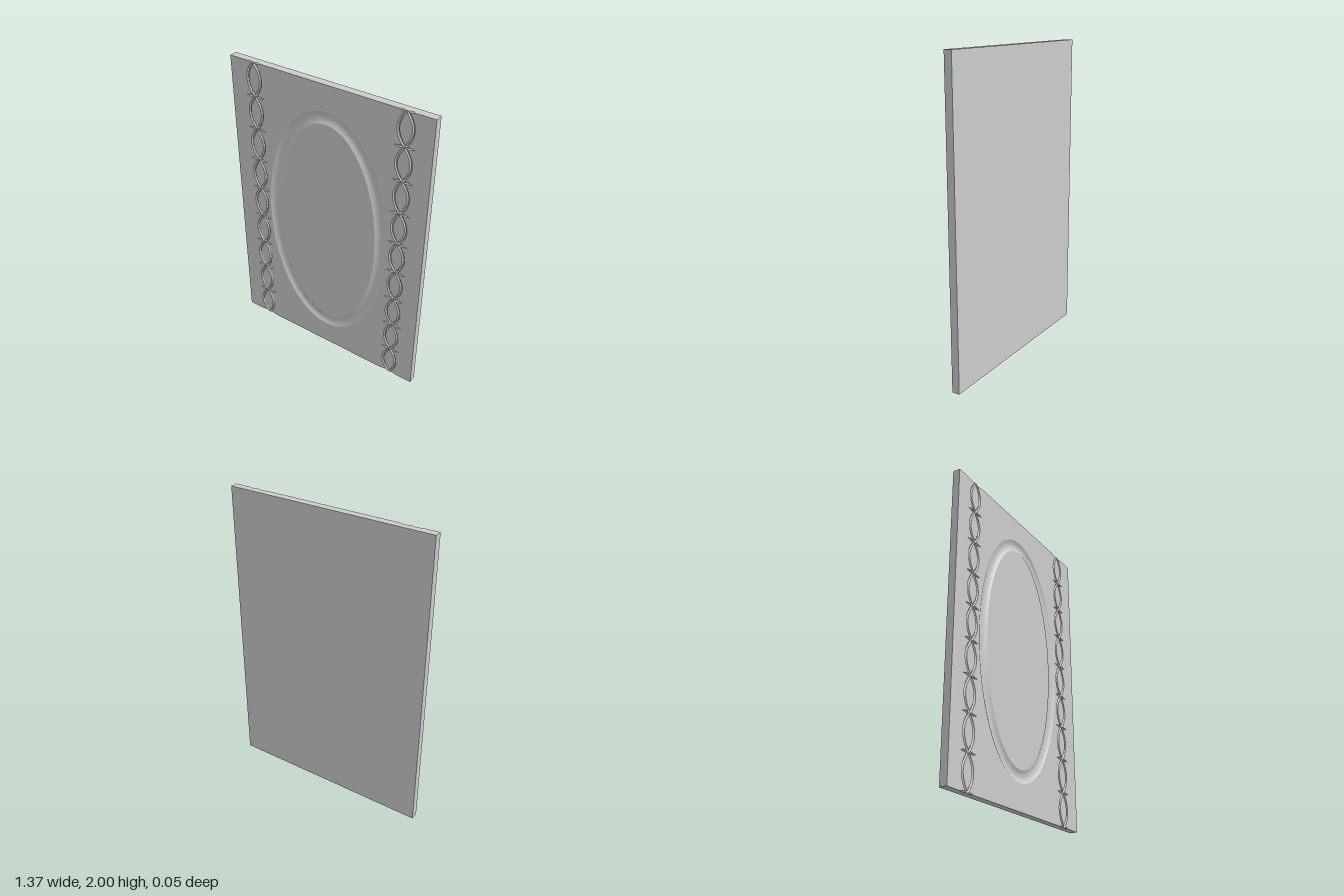
import * as THREE from 'three';
import { toCreasedNormals } from 'three/addons/utils/BufferGeometryUtils.js';

const W = 0.687, H = 2, FRONT = 0.025, CORE = 0.006; // half width, height, face and core planes
const CHAIN_X = 0.515, CHAIN_W = 0.065, LOBES = 9, HALF = H / LOBES / 2;
const FIELD = CHAIN_X - CHAIN_W;
const RING = { rx: 0.36, ry: 0.75, width: 0.08, depth: 0.013, cy: 1, steps: 128 };

const material = new THREE.MeshStandardMaterial({ color: 0xcccccc });

function addMesh(group, name, geometry, x = 0, y = 0, z = 0) {
  const mesh = new THREE.Mesh(geometry, material);
  mesh.name = name;
  mesh.position.set(x, y, z);
  group.add(mesh);
  return mesh;
}

// Surface through rows of points, all rows of equal length
function loft(rows, crease) {
  const n = rows[0].length, index = [];
  for (let r = 0; r < rows.length - 1; r++) {
    for (let c = 0; c < n - 1; c++) {
      const a = r * n + c, b = a + 1, d = a + n, e = d + 1;
      index.push(a, b, e, a, e, d);
    }
  }
  const g = new THREE.BufferGeometry();
  g.setAttribute('position', new THREE.Float32BufferAttribute(rows.flat(2), 3));
  g.setIndex(index);
  return toCreasedNormals(g, crease);
}

// Point on the oval, s = 0 at the inner rim and 1 at the outer rim
function ovalPoint(i, s) {
  const a = (i / RING.steps) * Math.PI * 2;
  return [
    (RING.rx + RING.width * s) * Math.cos(a),
    RING.cy + (RING.ry + RING.width * s) * Math.sin(a),
  ];
}

function ovalOutline(s) {
  return Array.from({ length: RING.steps }, (_, i) => new THREE.Vector2(...ovalPoint(i, s)));
}

function ovalGroove() {
  const rows = [];
  for (let i = 0; i <= RING.steps; i++) {
    const row = [];
    for (let k = 0; k <= 10; k++) {
      const s = k / 10;
      row.push([...ovalPoint(i, s), FRONT - RING.depth * 4 * s * (1 - s)]);
    }
    rows.push(row);
  }
  return loft(rows, 0.4);
}

// Half of one chain row, from the centre line outward: [offset, depth]
function chainProfile(t) {
  const depth = 0.007, outer = 0.01 + 0.045 * (1 - t * t);
  const inner = Math.max(0, 0.039 * (1 - (t / 0.88) ** 2));
  const dy = (1 - Math.abs(t)) * HALF;
  const fade = Math.min(1, dy / 0.012);
  const points = [[0, 0]];
  // Leaf groove
  for (let k = 0; k <= 6; k++) {
    const s = k / 6;
    points.push([inner + (outer - inner) * s, depth * fade * 4 * s * (1 - s)]);
  }
  // Pointed spur beside each crossing
  for (let k = 1; k <= 6; k++) {
    const a = outer + (0.059 - outer) * (k / 6);
    const h = 0.014 * (1 - a / 0.06);
    const rise = Math.min(1, (a - 0.01) / 0.008);
    points.push([a, depth * rise * Math.max(0, 1 - (dy / h) ** 2)]);
  }
  points.push([CHAIN_W, 0]);
  return points;
}

function chainStrip() {
  const half = [0, 0.12, 0.24, 0.36, 0.48, 0.6, 0.7, 0.78, 0.84, 0.88, 0.9, 0.92, 0.94, 0.96, 0.98, 1];
  const ts = [...half.slice(1).reverse().map((t) => -t), ...half];
  const rows = [];
  for (let l = 0; l < LOBES; l++) {
    ts.forEach((t, i) => {
      if (l > 0 && i === 0) return;
      const y = (2 * l + 1 + t) * HALF;
      const right = chainProfile(t).map(([a, d]) => [a, y, FRONT - d]);
      const left = right.slice(1).reverse().map(([a, b, z]) => [-a, b, z]);
      rows.push([...left, ...right]);
    });
  }
  // Close the top and bottom ends down to the core
  const skirt = (row) => row.map(([x, y]) => [x, y, CORE]);
  return loft([skirt(rows[0]), ...rows, skirt(rows[rows.length - 1])], 0.5);
}

export function createModel() {
  const group = new THREE.Group();
  group.name = 'carvedPanel';
  const layer = FRONT - CORE;
  const extrude = { depth: layer, bevelEnabled: false };

  // Solid board behind the carving
  addMesh(group, 'backBoard', new THREE.BoxGeometry(W * 2, H, CORE + FRONT), 0, H / 2, (CORE - FRONT) / 2);

  // Central field with the oval opening
  const field = new THREE.Shape([
    new THREE.Vector2(-FIELD, 0), new THREE.Vector2(FIELD, 0),
    new THREE.Vector2(FIELD, H), new THREE.Vector2(-FIELD, H),
  ]);
  field.holes.push(new THREE.Path(ovalOutline(1)));
  addMesh(group, 'centralField', new THREE.ExtrudeGeometry(field, extrude), 0, 0, CORE);

  // Oval medallion and the rounded channel around it
  const oval = new THREE.Shape(ovalOutline(0));
  addMesh(group, 'ovalMedallion', new THREE.ExtrudeGeometry(oval, extrude), 0, 0, CORE);
  addMesh(group, 'ovalGroove', ovalGroove());

  // Carved leaf chains and plain outer borders
  const chain = chainStrip();
  const inner = CHAIN_X + CHAIN_W, borderW = W - inner;
  const border = new THREE.BoxGeometry(borderW, H, layer);
  for (const [side, name] of [[1, 'left'], [-1, 'right']]) {
    addMesh(group, name + 'LeafChain', chain, side * CHAIN_X);
    addMesh(group, name + 'Border', border, side * (inner + borderW / 2), H / 2, CORE + layer / 2);
  }
  return group;
}
